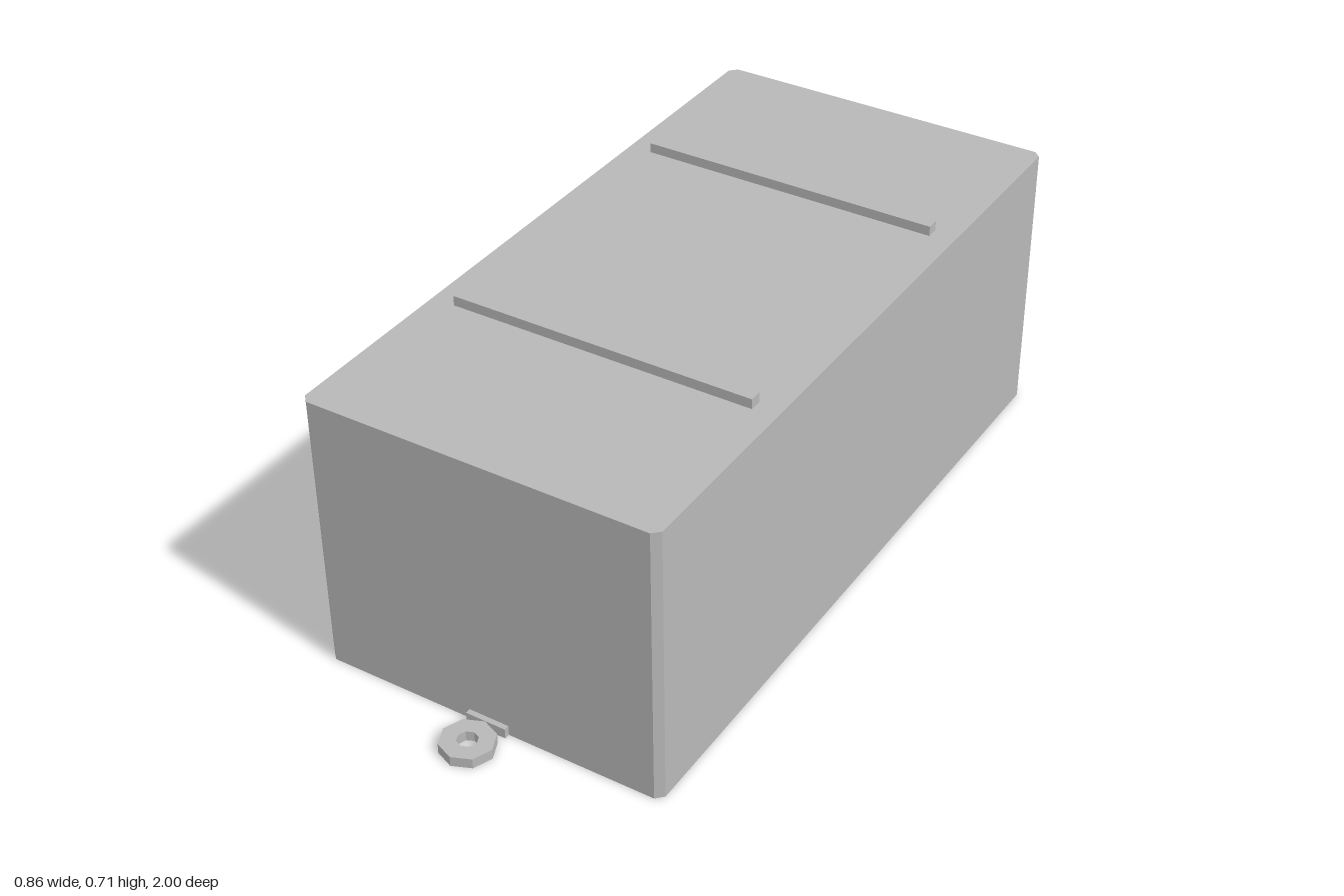
import * as THREE from 'three';

export function createModel() {
  const model = new THREE.Group();
  const grey = new THREE.MeshStandardMaterial({ color: 0xb8b8b8 });
  grey.name = 'plain grey';

  const add = (name, geometry, x, y, z) => {
    const mesh = new THREE.Mesh(geometry, grey);
    mesh.name = name;
    mesh.position.set(x, y, z);
    model.add(mesh);
  };

  // Extrude a flat outline upwards from y = 0
  const extrudeUp = (shape, height) =>
    new THREE.ExtrudeGeometry(shape, { depth: height, bevelEnabled: false }).rotateX(-Math.PI / 2);

  const octagon = (r) => Array.from({ length: 8 }, (_, i) =>
    new THREE.Vector2(r * Math.cos(i * Math.PI / 4), r * Math.sin(i * Math.PI / 4)));

  // Main block with chamfered vertical corners
  const w = 0.43, d = 0.86, c = 0.017, h = 0.69;
  const outline = new THREE.Shape([
    [w, -d + c], [w, d - c], [w - c, d], [-w + c, d],
    [-w, d - c], [-w, -d + c], [-w + c, -d], [w - c, -d],
  ].map(([x, y]) => new THREE.Vector2(x, y)));
  add('body', extrudeUp(outline, h), 0, 0, 0);

  // Octagonal eyelet shape
  const eyelet = new THREE.Shape(octagon(0.063));
  eyelet.holes.push(new THREE.Path(octagon(0.024)));

  for (const [side, s] of [['front', 1], ['back', -1]]) {
    // Cross rib on the top
    add(side + 'Rib', new THREE.BoxGeometry(0.744, 0.024, 0.03), 0, h + 0.012, s * 0.396);
    // Mounting eyelet and its small base plate at the foot of the end wall
    add(side + 'Eyelet', extrudeUp(eyelet, 0.025), 0, 0, s * 0.937);
    add(side + 'EyeletBase', new THREE.BoxGeometry(0.1, 0.025, 0.014), 0, 0.0125, s * 0.866);
  }

  return model;
}
